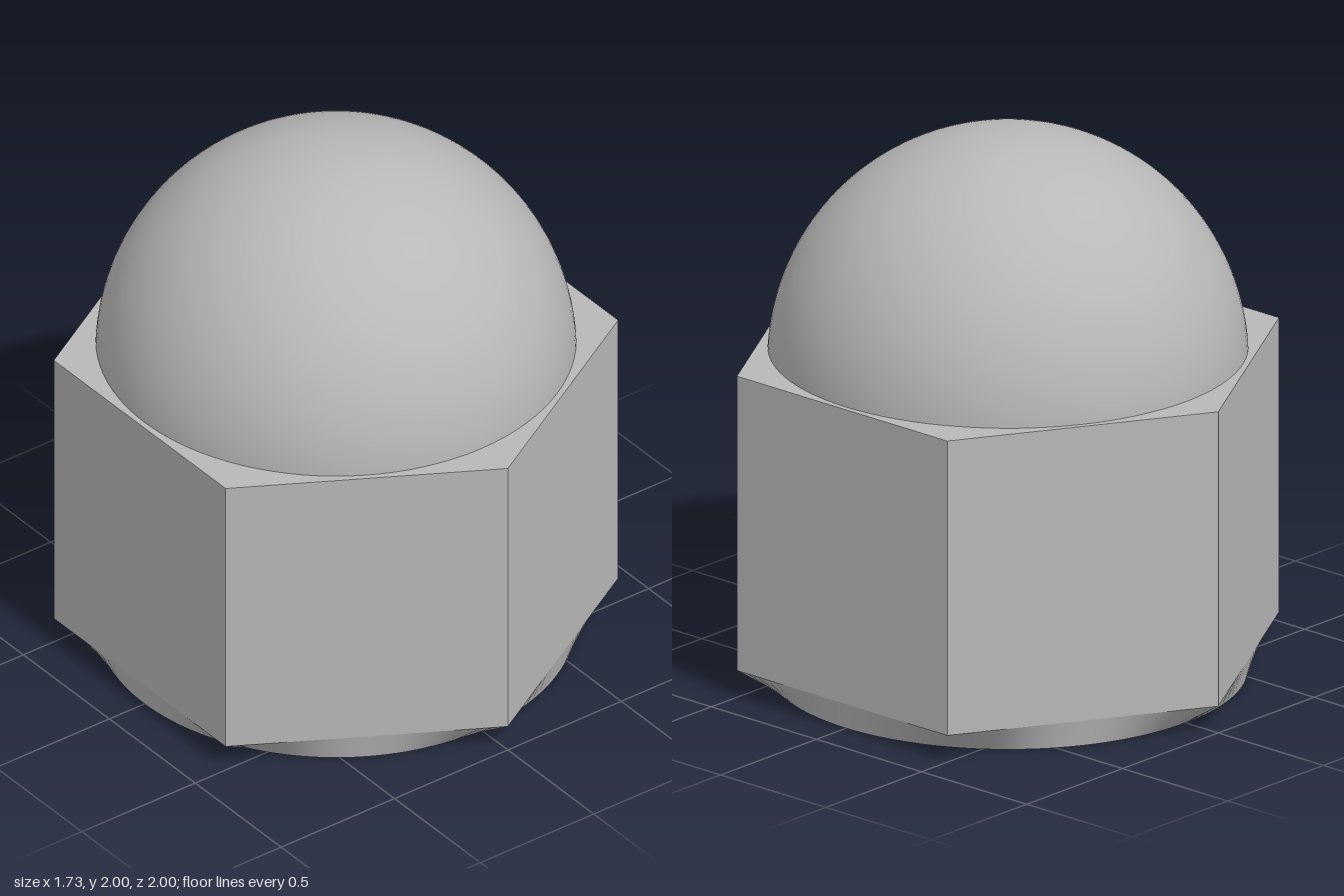
import * as THREE from 'three';

const SIDES = 6, APOTHEM = Math.cos(Math.PI / SIDES);
const BASE_R = 0.845, CHAMFER_H = 0.1, HEX_TOP = 1.2;

// Distance from the axis to the hexagon's outline at angle a (corner at a = 0)
function hexRadius(a) {
  const step = (2 * Math.PI) / SIDES;
  const local = (a % step) - step / 2;
  return APOTHEM / Math.cos(local);
}

// Ruled surface from the round base ring up to the hexagon
function chamferGeometry(segments = 144) {
  const positions = [], index = [];
  for (let i = 0; i < segments; i++) {
    const a = (i / segments) * Math.PI * 2;
    const s = Math.sin(a), c = Math.cos(a), r = hexRadius(a);
    positions.push(s * BASE_R, 0, c * BASE_R, s * r, CHAMFER_H, c * r);
    const p = i * 2, q = ((i + 1) % segments) * 2;
    index.push(p, q, q + 1, p, q + 1, p + 1);
  }
  const g = new THREE.BufferGeometry();
  g.setAttribute('position', new THREE.Float32BufferAttribute(positions, 3));
  g.setIndex(index);
  g.computeVertexNormals();
  return g;
}

export function createModel() {
  const group = new THREE.Group();
  const steel = new THREE.MeshStandardMaterial({ color: 0xb8b8b8 });
  steel.name = 'steel grey';

  const add = (name, geometry) => {
    const mesh = new THREE.Mesh(geometry, steel);
    mesh.name = name;
    group.add(mesh);
    return mesh;
  };
  const lathe = (pairs) =>
    new THREE.LatheGeometry(pairs.map(([r, y]) => new THREE.Vector2(r, y)), 96);

  // Hexagonal body
  const hexH = HEX_TOP - CHAMFER_H;
  const sides = new THREE.CylinderGeometry(1, 1, hexH, SIDES, 1, true).toNonIndexed();
  sides.computeVertexNormals();
  add('hexSides', sides).position.y = CHAMFER_H + hexH / 2;

  const top = new THREE.CircleGeometry(1, SIDES, Math.PI / 2);
  top.rotateX(-Math.PI / 2);
  add('hexTop', top).position.y = HEX_TOP;

  add('baseChamfer', chamferGeometry());

  // Domed cap: a slice of a sphere standing on the hexagon
  const domeH = 2 - HEX_TOP;
  const domeR = (BASE_R ** 2 + domeH ** 2) / (2 * domeH);
  const dome = new THREE.SphereGeometry(domeR, 96, 40, 0, Math.PI * 2, 0,
    Math.acos((domeH - domeR) / -domeR * -1 * -1));
  add('dome', dome).position.y = 2 - domeR;

  // Underside: flat rim and countersink
  add('baseRim', lathe([[0.69, 0], [BASE_R, 0]]));
  add('countersink', lathe([[0.5, 0.2], [0.69, 0]]));

  // Threaded bore with rounded ridges, running from its ceiling down
  const boreTop = 1.1, boreBottom = 0.2, ridges = 7, steps = ridges * 12;
  const bore = [];
  for (let i = 0; i <= steps; i++) {
    const t = i / steps;
    const wave = 0.5 - 0.5 * Math.cos(t * ridges * Math.PI * 2);
    bore.push([0.5 + 0.04 * wave, boreTop + (boreBottom - boreTop) * t]);
  }
  add('threadedBore', lathe(bore));
  add('boreCeiling', lathe([[0, boreTop], [0.5, boreTop]]));

  return group;
}
